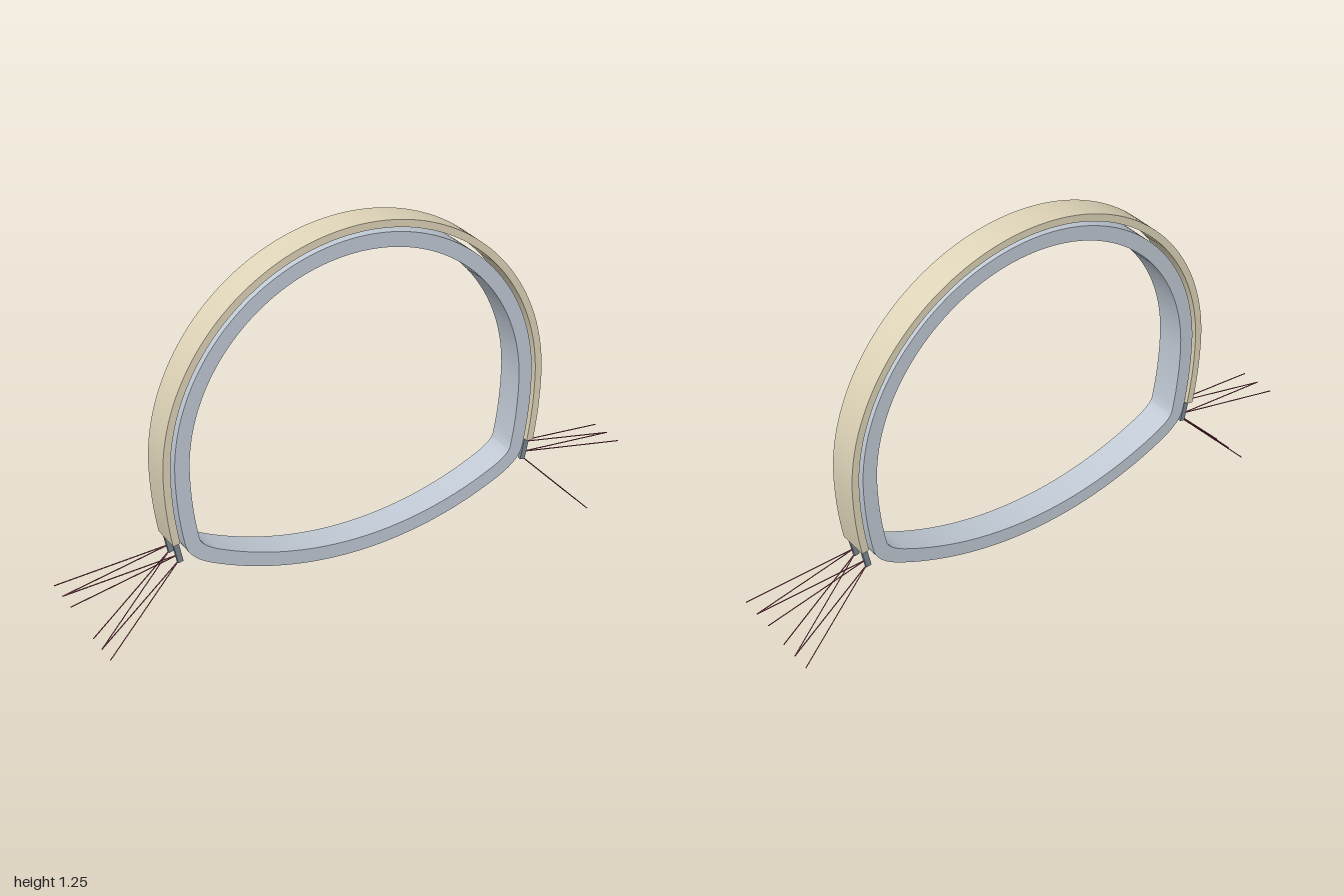
import * as THREE from 'three';
import { toCreasedNormals } from 'three/addons/utils/BufferGeometryUtils.js';

const DEPTH = 0.104;

// Right half of the hoop outline, running from the crown down to the lowest point
const arch = new THREE.EllipseCurve(0, 0.57, 0.638, 0.638, Math.PI / 2, 0, true);
const flank = (sweep) => new THREE.EllipseCurve(-0.662, 0.57, 1.3, 1.3, 0, -sweep, true);
const corner = new THREE.QuadraticBezierCurve(
  new THREE.Vector2(0.6137, 0.32), new THREE.Vector2(0.6035, 0.268), new THREE.Vector2(0.52, 0.2276));
const belly = new THREE.EllipseCurve(0, 1.298, 1.19, 1.19, -Math.PI / 2 + 0.4523, -Math.PI / 2, true);

// Points of the half outline, pushed outward by d
function halfOutline(curves, d) {
  const pts = [];
  curves.forEach(([curve, n], k) => {
    for (let i = k ? 1 : 0; i <= n; i++) {
      const p = curve.getPoint(i / n), t = curve.getTangent(i / n);
      pts.push(new THREE.Vector2(p.x - t.y * d, p.y + t.x * d));
    }
  });
  return pts;
}

const mirrored = (pts) => pts.map((p) => new THREE.Vector2(-p.x, p.y)).reverse();

// Left end to crown to right end (clockwise)
function fullOutline(curves, d) {
  const right = halfOutline(curves, d);
  right[0].x = 0;
  return [...mirrored(right), ...right.slice(1)];
}

function extrude(shape) {
  const g = new THREE.ExtrudeGeometry(shape, { depth: DEPTH, bevelEnabled: false });
  g.translate(0, 0, -DEPTH / 2);
  return toCreasedNormals(g, 0.6);
}

function addMesh(parent, name, geometry, material) {
  const mesh = new THREE.Mesh(geometry, material);
  mesh.name = name;
  parent.add(mesh);
  return mesh;
}

// Thin straight rod between two points
function rod(parent, name, from, to, radius, material) {
  const dir = to.clone().sub(from);
  const mesh = addMesh(parent, name, new THREE.CylinderGeometry(radius, radius, dir.length(), 6), material);
  mesh.position.copy(from).add(to).multiplyScalar(0.5);
  mesh.quaternion.setFromUnitVectors(new THREE.Vector3(0, 1, 0), dir.normalize());
}

export function createModel() {
  const model = new THREE.Group();
  model.name = 'hoopWithStrap';
  const steel = new THREE.MeshStandardMaterial({ color: 0xc2cbd6 });
  const cream = new THREE.MeshStandardMaterial({ color: 0xdfd5b9 });
  const dark = new THREE.MeshStandardMaterial({ color: 0x7d8994 });
  const red = new THREE.MeshStandardMaterial({ color: 0x9a4458 });

  // Closed hoop: domed top, rounded lower corners, shallow curved bottom.
  // Outer edge counter-clockwise, opening clockwise, so both walls face outward.
  const whole = [[arch, 48], [flank(0.1935), 10], [corner, 14], [belly, 20]];
  const hoop = new THREE.Shape(fullOutline(whole, 0).slice(1).reverse());
  hoop.holes.push(new THREE.Path(fullOutline(whole, -0.049).slice(1)));
  addMesh(model, 'hoop', extrude(hoop), steel);

  // Strap following the hoop at a small gap, open below
  const upper = [[arch, 48], [flank(0.181), 10]];
  const strap = new THREE.Shape([...fullOutline(upper, 0.014), ...fullOutline(upper, 0.0385).reverse()]);
  addMesh(model, 'strap', extrude(strap), cream);

  // Strap end tabs, each holding four splayed wires
  for (const side of [1, -1]) {
    const group = new THREE.Group();
    group.name = side > 0 ? 'leftFittings' : 'rightFittings';
    model.add(group);
    for (const z of [0.033, -0.033]) {
      const tab = addMesh(group, 'tab', new THREE.BoxGeometry(0.018, 0.085, 0.012), dark);
      tab.position.set(side * 0.634, 0.3, z);
      tab.rotation.z = -side * 0.2;
      for (const tipZ of [0, Math.sign(z) * 0.065]) {
        rod(group, 'upperWire', new THREE.Vector3(side * 0.632, 0.283, z),
          new THREE.Vector3(side, 0.235, tipZ), 0.0018, red);
        rod(group, 'lowerWire', new THREE.Vector3(side * 0.63, 0.262, z),
          new THREE.Vector3(side * 0.887, 0.001, tipZ), 0.0018, red);
      }
    }
  }
  return model;
}
